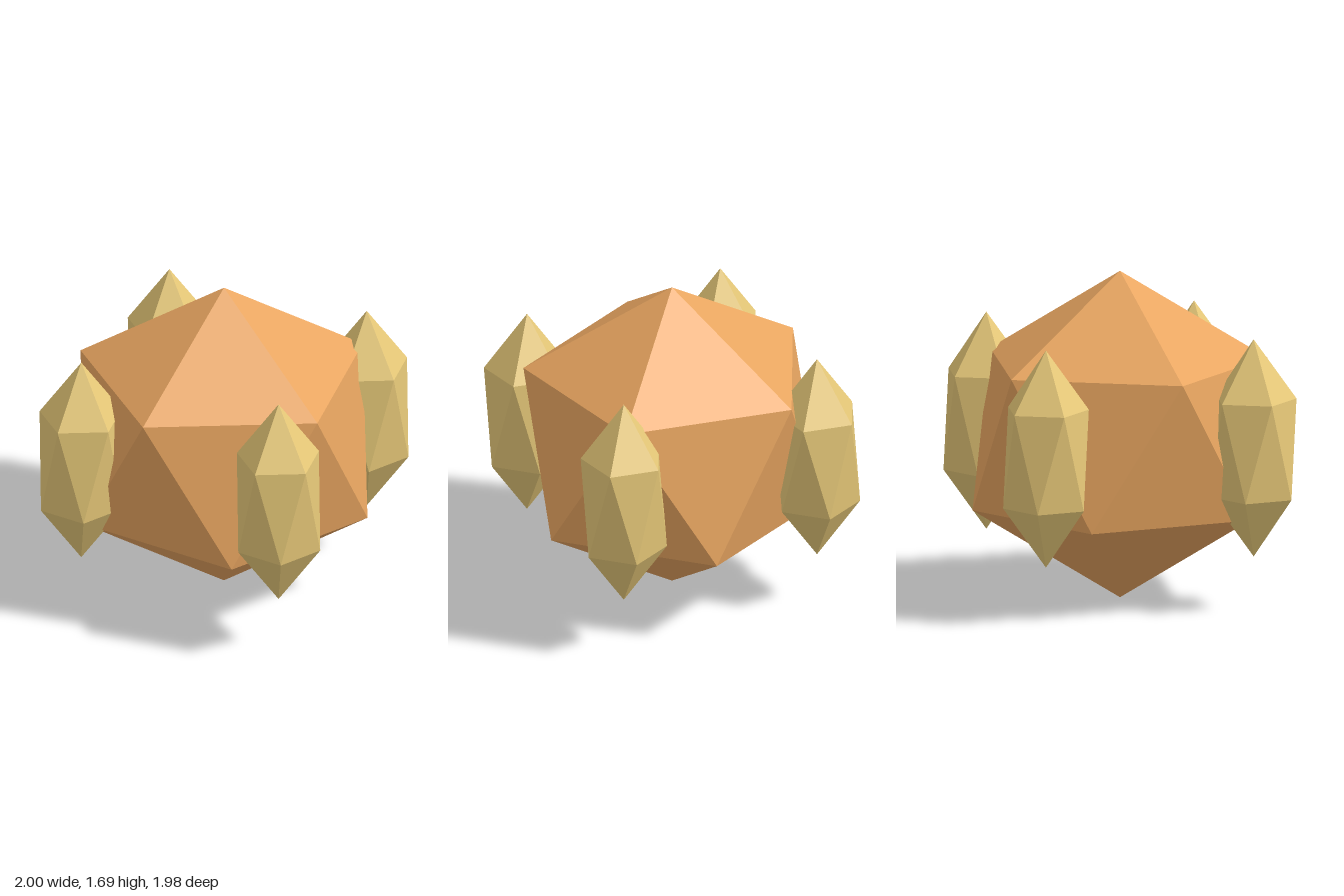
import * as THREE from 'three';

// Icosahedron standing on a vertex, with an upper-ring vertex towards +x
function poleIcosahedron(radius) {
  const golden = (1 + Math.sqrt(5)) / 2;
  return new THREE.IcosahedronGeometry(radius, 0).rotateZ(-Math.atan(1 / golden));
}

export function createModel() {
  const model = new THREE.Group();
  model.name = 'crystalCluster';
  const coreMaterial = new THREE.MeshStandardMaterial({ color: 0xe8a560, flatShading: true });
  const shardMaterial = new THREE.MeshStandardMaterial({ color: 0xe6c878, flatShading: true });
  const centreY = 0.853;

  // Large central gem
  const core = new THREE.Mesh(poleIcosahedron(0.847), coreMaterial);
  core.name = 'core';
  core.position.y = centreY;
  model.add(core);

  // Four tall shards around it, all facing the same way
  const shardGeometry = poleIcosahedron(0.246).scale(1, 2.29, 1);
  const offset = 0.779;
  const places = { left: [1, 0], right: [-1, 0], front: [0, 1], back: [0, -1] };
  for (const [side, [x, z]] of Object.entries(places)) {
    const shard = new THREE.Mesh(shardGeometry, shardMaterial);
    shard.name = side + 'Shard';
    shard.position.set(x * offset, centreY, z * offset);
    model.add(shard);
  }
  return model;
}
